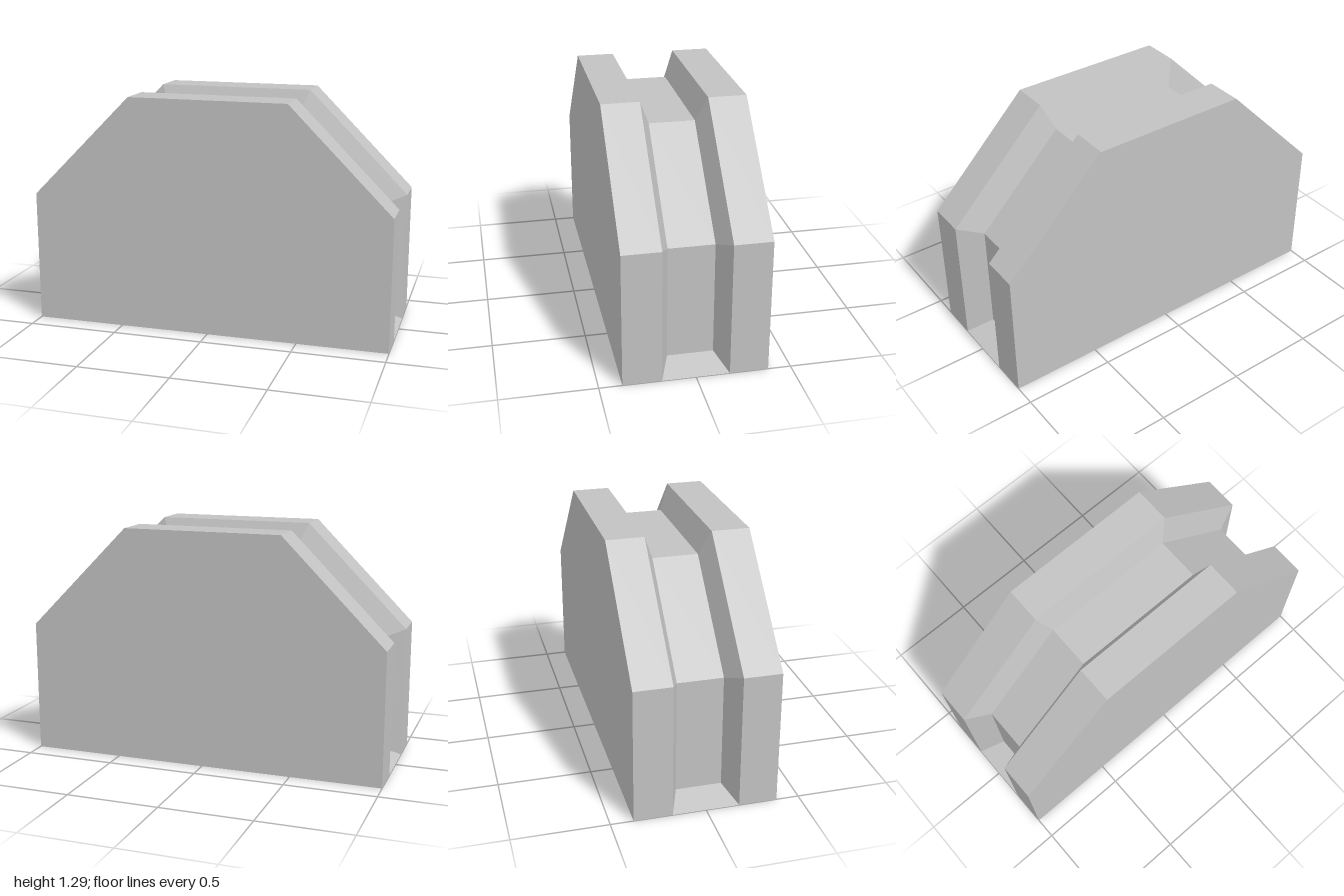
import * as THREE from 'three';

const HALF_DEPTH = 0.38, GROOVE = 0.177, CORE = 0.122;

// Open outline from the right foot, over the top, to the left foot
const outline = (x, foot, shoulder, topX, top) => [
  [x, foot], [x, shoulder], [topX, top], [-topX, top], [-x, shoulder], [-x, foot],
];
const outer = outline(1, 0, 0.73, 0.437, 1.295);
const inner = outline(0.86, 0.055, 0.672, 0.379, 1.155);

// Flat-faced surface from a list of four-cornered faces
function quadGeometry(quads) {
  const positions = [];
  for (const [a, b, c, d] of quads) positions.push(...a, ...b, ...c, ...a, ...c, ...d);
  const geometry = new THREE.BufferGeometry();
  geometry.setAttribute('position', new THREE.Float32BufferAttribute(positions, 3));
  geometry.computeVertexNormals();
  return geometry;
}

// Band of faces joining two outlines at different depths
function band(p0, z0, p1, z1) {
  const quads = [];
  for (let i = 0; i < p0.length - 1; i++) {
    quads.push([[...p0[i], z0], [...p0[i + 1], z0], [...p1[i + 1], z1], [...p1[i], z1]]);
  }
  return quadGeometry(quads);
}

export function createModel() {
  const group = new THREE.Group();
  const grey = new THREE.MeshStandardMaterial({ color: 0xc2c2c2 });
  grey.name = 'light grey';
  grey.flatShading = true;

  const add = (name, geometry) => {
    const mesh = new THREE.Mesh(geometry, grey);
    mesh.name = name;
    group.add(mesh);
    return mesh;
  };

  // Rims, sloping groove walls and groove bed, from back to front
  add('backRim', band(outer, -HALF_DEPTH, outer, -GROOVE));
  add('backGrooveWall', band(outer, -GROOVE, inner, -CORE));
  add('grooveBed', band(inner, -CORE, inner, CORE));
  add('frontGrooveWall', band(inner, CORE, outer, GROOVE));
  add('frontRim', band(outer, GROOVE, outer, HALF_DEPTH));

  // Flat front and back faces
  const face = new THREE.ShapeGeometry(new THREE.Shape(outer.map(([x, y]) => new THREE.Vector2(x, y))));
  add('frontFace', face).position.z = HALF_DEPTH;
  const back = add('backFace', face);
  back.position.z = -HALF_DEPTH;
  back.rotation.y = Math.PI;

  // Sloping sills where the groove meets the ground at each end
  for (const s of [1, -1]) {
    add(s > 0 ? 'leftSill' : 'rightSill', quadGeometry([[
      [s, 0, s * GROOVE], [s, 0, -s * GROOVE],
      [s * 0.86, 0.055, -s * CORE], [s * 0.86, 0.055, s * CORE],
    ]]));
  }

  // Underside
  add('base', quadGeometry([[
    [-1, 0, -HALF_DEPTH], [1, 0, -HALF_DEPTH], [1, 0, HALF_DEPTH], [-1, 0, HALF_DEPTH],
  ]]));

  return group;
}
